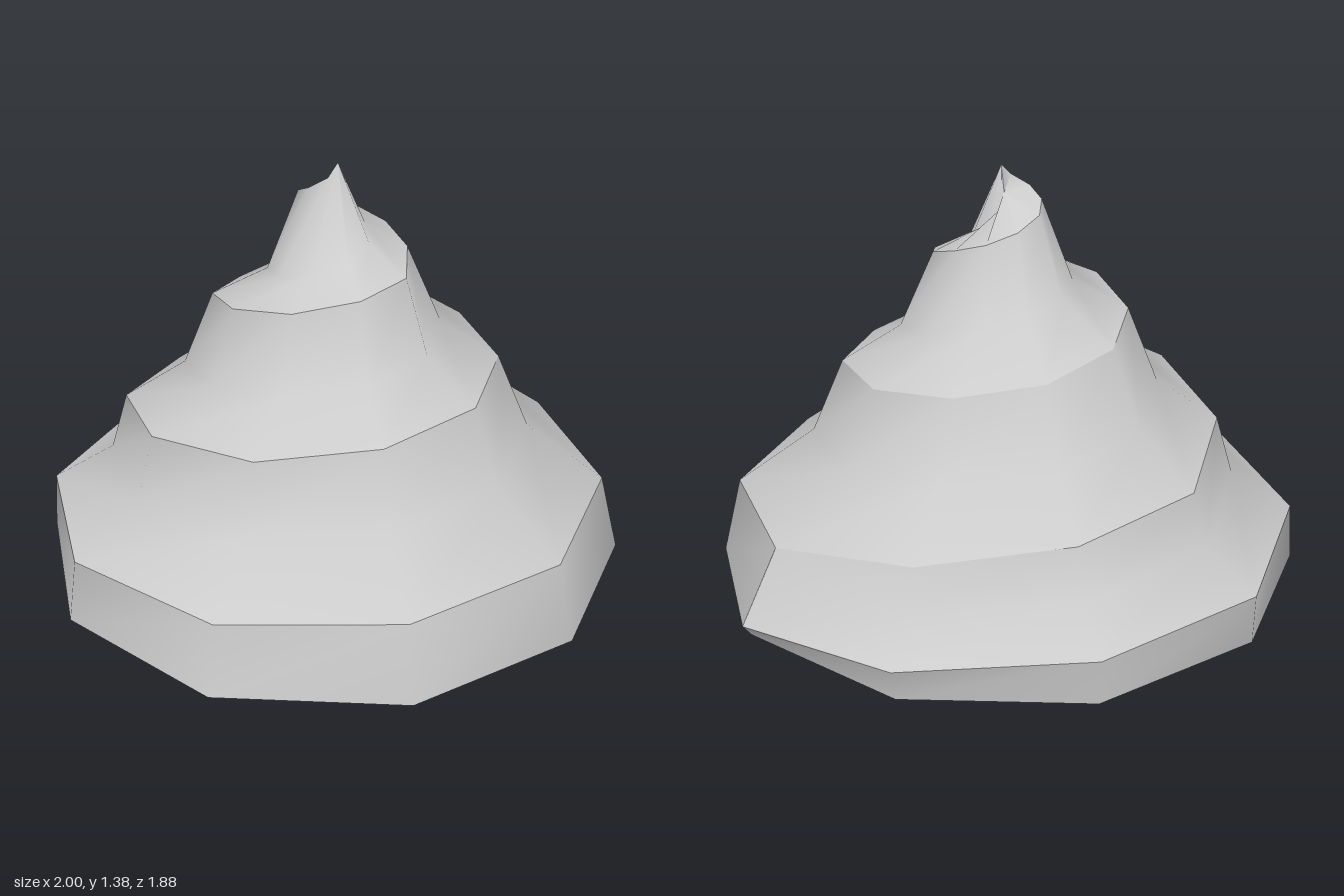
import * as THREE from 'three';

const SIDES = 10; // steps per turn of the swirl
const TIP = 37; // step at which the ridge ends

// Control points: [step, radius, height]
const RIDGE = [
  [0, 1, 0.04], [1, 1, 0.11], [2, 0.99, 0.15], [3, 0.985, 0.165], [5, 0.97, 0.21],
  [7, 0.93, 0.25], [9, 0.905, 0.265], [10, 0.87, 0.28], [11, 0.81, 0.36], [12, 0.77, 0.415],
  [13, 0.745, 0.45], [15, 0.68, 0.58], [17, 0.617, 0.67], [18, 0.573, 0.69], [20, 0.5, 0.73],
  [22, 0.456, 0.81], [25, 0.38, 0.95], [27, 0.33, 1.03], [28, 0.29, 1.05], [29, 0.23, 1.09],
  [30, 0.19, 1.13], [32, 0.15, 1.2], [33, 0.14, 1.24], [35, 0.1, 1.3], [36, 0.065, 1.335],
  [37, 0.03, 1.375],
];
const VALLEY = [
  [0, 0.875, 0.27], [1, 0.86, 0.24], [2, 0.82, 0.25], [3, 0.8, 0.275], [5, 0.74, 0.36],
  [7.5, 0.69, 0.43], [10, 0.61, 0.48], [12.5, 0.56, 0.58], [15, 0.47, 0.7], [17.5, 0.4, 0.79],
  [20, 0.3, 0.87], [22.5, 0.24, 0.97], [25, 0.21, 1.02], [27.5, 0.16, 1.11], [30, 0.05, 1.2],
  [32, 0, 1.29],
];
const BASE_RADII = [0.97, 0.97, 0.98, 0.98, 0.99, 1, 1, 0.99, 0.98, 0.97];

function polar(step, r, y) {
  const a = (step / SIDES) * Math.PI * 2;
  return [r * Math.cos(a), y, -r * Math.sin(a)];
}

// Point on a spiral, interpolated between its control points
function spiral(table, step) {
  const last = table[table.length - 1];
  if (step >= last[0]) return polar(last[0], last[1], last[2]);
  const i = table.findIndex((p) => p[0] > step);
  const [a, b] = [table[i - 1], table[i]];
  const t = (step - a[0]) / (b[0] - a[0]);
  return polar(step, a[1] + (b[1] - a[1]) * t, a[2] + (b[2] - a[2]) * t);
}

function makeMesh(name, points, index) {
  const geometry = new THREE.BufferGeometry();
  geometry.setAttribute('position', new THREE.Float32BufferAttribute(points.flat(), 3));
  geometry.setIndex(index);
  geometry.computeVertexNormals();
  const material = new THREE.MeshStandardMaterial({ color: 0xcccccc, side: THREE.DoubleSide });
  const mesh = new THREE.Mesh(geometry, material);
  mesh.name = name;
  return mesh;
}

export function createModel() {
  const group = new THREE.Group();
  group.name = 'swirl';

  // Coils: each step has a ledge (ridge to valley) and a wall (valley to next ridge)
  const points = [];
  const index = [];
  for (let k = 0; k <= TIP; k++) {
    points.push(spiral(RIDGE, k), spiral(VALLEY, k), spiral(RIDGE, Math.min(k + SIDES, TIP)));
    if (k === TIP) break;
    const a = k * 3;
    index.push(a, a + 3, a + 4);
    if (k < 32) {
      index.push(a, a + 4, a + 1, a + 1, a + 4, a + 5);
      if (k + SIDES < TIP) index.push(a + 1, a + 5, a + 2);
    }
  }
  group.add(makeMesh('coils', points, index));

  // Outer wall of the lowest coil, from the ground up to the first ridge
  const base = BASE_RADII.map((r, k) => polar(k, r, 0));
  const wall = [];
  const wallIndex = [];
  for (let k = 0; k <= SIDES; k++) {
    wall.push(k < SIDES ? base[k] : spiral(RIDGE, 0), spiral(RIDGE, k));
    if (k < SIDES) {
      const a = k * 2;
      wallIndex.push(a, a + 2, a + 3, a, a + 3, a + 1);
    }
  }
  // Small gap under the start of the ridge
  wallIndex.push((SIDES - 1) * 2, 0, SIDES * 2);
  group.add(makeMesh('lowerWall', wall, wallIndex));

  // Flat underside
  const floorIndex = [];
  for (let k = 1; k < SIDES - 1; k++) floorIndex.push(0, k + 1, k);
  group.add(makeMesh('underside', base, floorIndex));

  return group;
}
